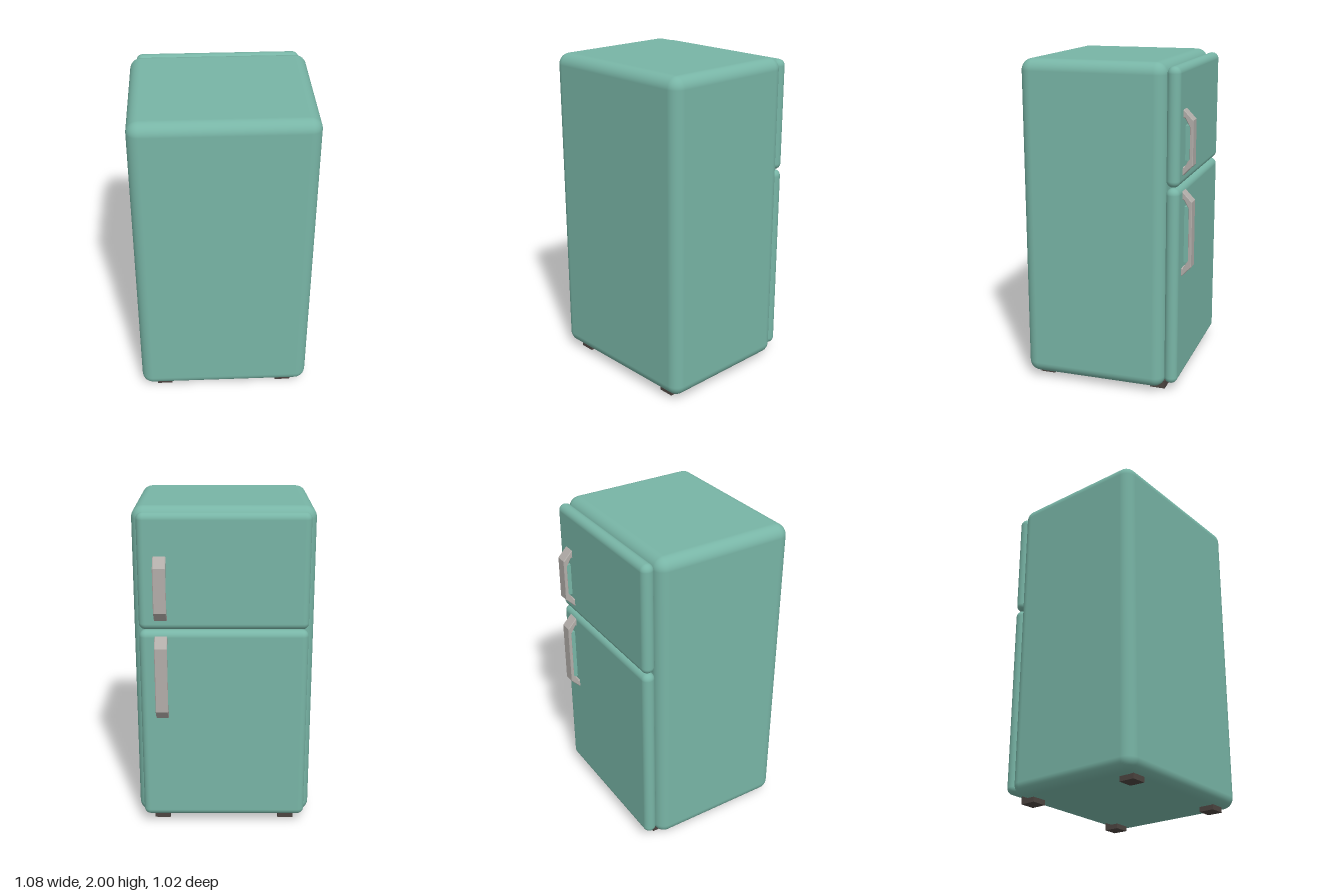
import * as THREE from 'three';
import { RoundedBoxGeometry } from 'three/addons/geometries/RoundedBoxGeometry.js';

const mat = (name, color) => {
  const m = new THREE.MeshStandardMaterial({ color });
  m.name = name;
  return m;
};

export function createModel() {
  const teal = mat('teal enamel', 0x78b5a6);
  const metal = mat('grey metal', 0xb3aeaa);
  const dark = mat('dark rubber', 0x4d4541);

  const model = new THREE.Group();
  model.name = 'refrigerator';
  const add = (name, geometry, material, parent = model) => {
    const mesh = new THREE.Mesh(geometry, material);
    mesh.name = name;
    parent.add(mesh);
    return mesh;
  };

  // Rounded slab given by its limits
  const slab = (name, w, y0, y1, z0, z1, radius) => {
    const mesh = add(name, new RoundedBoxGeometry(w, y1 - y0, z1 - z0, 5, radius), teal);
    mesh.position.set(0, (y0 + y1) / 2, (z0 + z1) / 2);
  };
  slab('cabinet', 1.076, 0.03, 2.0, -0.377, 0.511, 0.07);
  slab('freezerDoor', 1.005, 1.284, 1.978, -0.453, -0.372, 0.04);
  slab('fridgeDoor', 1.005, 0.06, 1.28, -0.453, -0.372, 0.04);

  // Side outline (distance behind the centre, height) extruded across x
  const across = (points, x0, x1, bevel) => {
    const shape = new THREE.Shape(points.map(([d, y]) => new THREE.Vector2(d, y)));
    const geo = new THREE.ExtrudeGeometry(shape, {
      depth: x1 - x0 - 2 * bevel, bevelEnabled: bevel > 0,
      bevelThickness: bevel, bevelSize: bevel, bevelOffset: -bevel, bevelSegments: 1,
    });
    return geo.rotateY(Math.PI / 2).translate(x0 + bevel, 0, 0);
  };

  // Bracket handles with a coloured lining inside the grip
  const handle = (name, y0, y1) => {
    const group = new THREE.Group();
    group.name = name;
    model.add(group);
    add('grip', across([
      [0.445, y0], [0.455, y0], [0.512, y0 + 0.06], [0.512, y1 - 0.06], [0.455, y1], [0.445, y1],
      [0.445, y1 - 0.05], [0.462, y1 - 0.05], [0.49, y1 - 0.1],
      [0.49, y0 + 0.1], [0.462, y0 + 0.05], [0.445, y0 + 0.05],
    ], 0.334, 0.41, 0.004), metal, group);
    add('gripLining', across([
      [0.466, y0 + 0.09], [0.492, y0 + 0.09], [0.492, y1 - 0.09], [0.466, y1 - 0.09],
    ], 0.336, 0.408, 0), teal, group);
  };
  handle('freezerHandle', 1.345, 1.73);
  handle('fridgeHandle', 0.73, 1.25);

  // Four feet
  for (const x of [-0.392, 0.392]) {
    for (const z of [-0.32, 0.409]) {
      add('foot', new THREE.BoxGeometry(0.098, 0.05, 0.096), dark).position.set(x, 0.025, z);
    }
  }
  return model;
}
